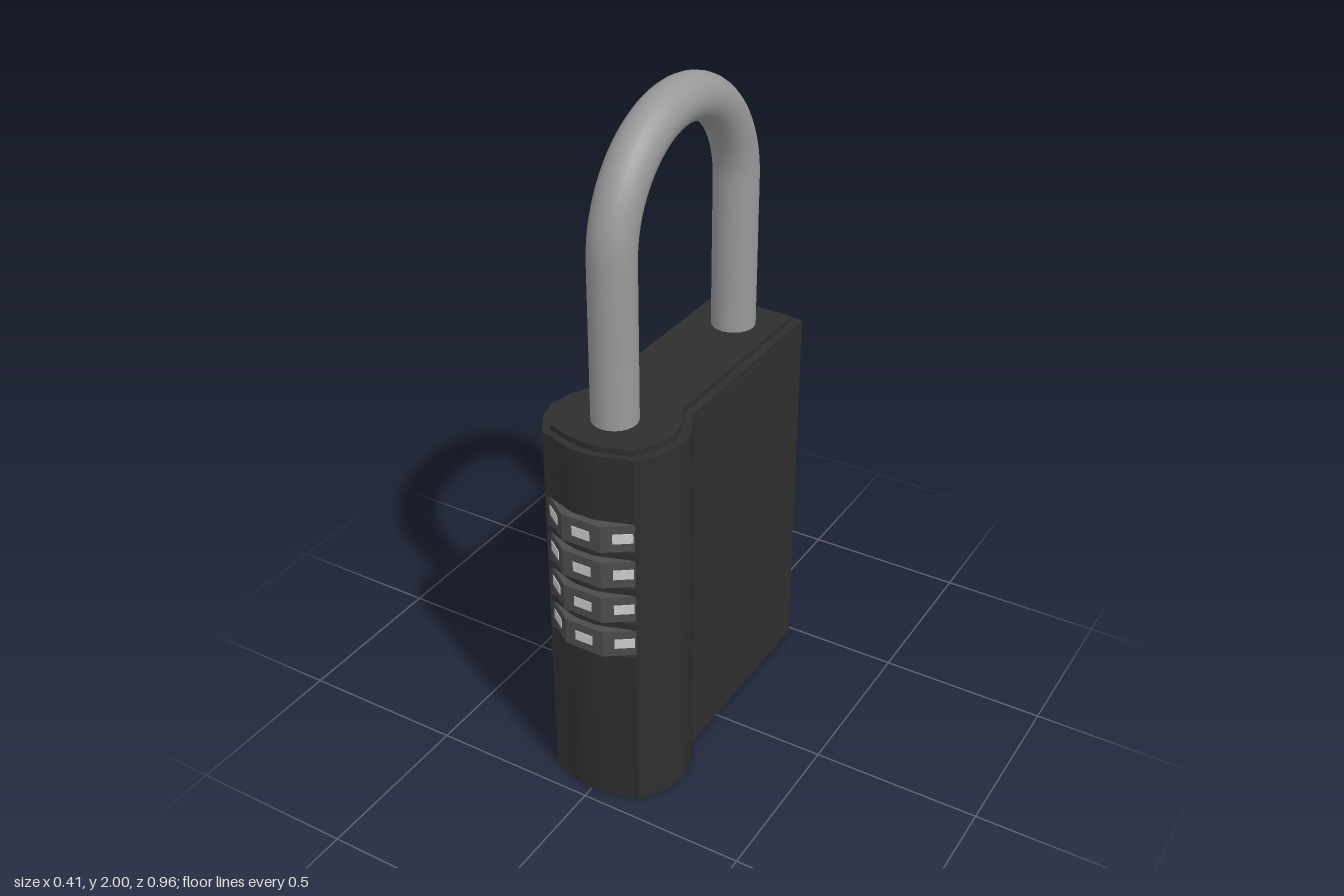
import * as THREE from 'three';
import { toCreasedNormals } from 'three/addons/utils/BufferGeometryUtils.js';

const black = new THREE.MeshStandardMaterial({ color: 0x2e2e2e });
const dialGrey = new THREE.MeshStandardMaterial({ color: 0x4c4c4c });
const pale = new THREE.MeshStandardMaterial({ color: 0xcccccc });
const steel = new THREE.MeshStandardMaterial({ color: 0x999999 });

// Half outlines as [x, z], from back to front; mirrored in x
const side = [[0.15, -0.48], [0.15, 0.16], [0.175, 0.195], [0.193, 0.235], [0.204, 0.295], [0.19, 0.355], [0.15, 0.42], [0.14, 0.431]];
const fullOutline = [...side, [0.12, 0.434], [0.06, 0.455], [0.03, 0.463]];
const windowOutline = [...side, [0.137, 0.39]];
const capOutline = [[0.127, -0.457], [0.127, 0.165], [0.15, 0.2], [0.167, 0.24], [0.175, 0.29], [0.162, 0.35], [0.128, 0.412], [0.06, 0.434], [0.03, 0.441]];

// Upright prism over a mirrored outline, between heights y0 and y1
function prism(half, y0, y1) {
  const mirrored = half.map(([x, z]) => [-x, z]).reverse();
  const points = [...half, ...mirrored].map(([x, z]) => new THREE.Vector2(x, -z));
  const geo = new THREE.ExtrudeGeometry(new THREE.Shape(points), { depth: y1 - y0, bevelEnabled: false });
  geo.rotateX(-Math.PI / 2).translate(0, y0, 0);
  return toCreasedNormals(geo, 0.5);
}

function add(parent, name, geo, material) {
  const mesh = new THREE.Mesh(geo, material);
  mesh.name = name;
  parent.add(mesh);
  return mesh;
}

export function createModel() {
  const lock = new THREE.Group();
  lock.name = 'combinationPadlock';

  // Body, with a window cut into the front for the dials
  const body = new THREE.Group();
  body.name = 'body';
  lock.add(body);
  add(body, 'lowerBody', prism(fullOutline, 0, 0.513), black);
  add(body, 'windowBody', prism(windowOutline, 0.513, 0.952), black);
  add(body, 'upperBody', prism(fullOutline, 0.952, 1.148), black);
  add(body, 'topCap', prism(capOutline, 1.148, 1.165), black);

  // Thin panels on both flat sides
  for (const s of [-1, 1]) {
    const panel = add(body, s > 0 ? 'leftPanel' : 'rightPanel', new THREE.BoxGeometry(0.006, 1.11, 0.595), black);
    panel.position.set(s * 0.15, 0.575, -0.1475);
  }

  // Ten-sided dials, separated by ribs
  const radius = 0.06 / Math.sin(Math.PI / 10);
  const apothem = 0.06 / Math.tan(Math.PI / 10);
  for (let i = 0; i < 4; i++) {
    const y = 0.56 + i * 0.115;
    const dial = new THREE.Group();
    dial.name = 'dial' + (i + 1);
    dial.position.set(0, y, 0.292);
    lock.add(dial);
    const wheel = new THREE.CylinderGeometry(radius, radius, 0.082, 10).rotateY(Math.PI / 10);
    add(dial, 'wheel', toCreasedNormals(wheel, 0.3), dialGrey);
    // Plain index marks on the exposed facets
    for (const k of [-1, 0, 1]) {
      const mark = new THREE.BoxGeometry(0.055, 0.03, 0.004).translate(0, 0, apothem);
      add(dial, 'indexMark', mark.rotateY(k * Math.PI / 5), pale);
    }
    if (i < 3) add(body, 'rib' + (i + 1), prism(fullOutline, y + 0.047, y + 0.068), black);
  }

  // Shackle: two straight legs joined by a half circle
  const r = 0.3175, midZ = -0.0175, springY = 1.6175;
  const path = new THREE.CurvePath();
  const front = new THREE.Vector3(0, springY, midZ + r);
  const back = new THREE.Vector3(0, springY, midZ - r);
  const arc = new THREE.Curve();
  arc.getPoint = (t, target = new THREE.Vector3()) =>
    target.set(0, springY + r * Math.sin(Math.PI * t), midZ + r * Math.cos(Math.PI * t));
  path.add(new THREE.LineCurve3(new THREE.Vector3(0, 1.1, front.z), front));
  path.add(arc);
  path.add(new THREE.LineCurve3(back, new THREE.Vector3(0, 1.1, back.z)));
  add(lock, 'shackle', new THREE.TubeGeometry(path, 72, 0.065, 24), steel);

  return lock;
}
